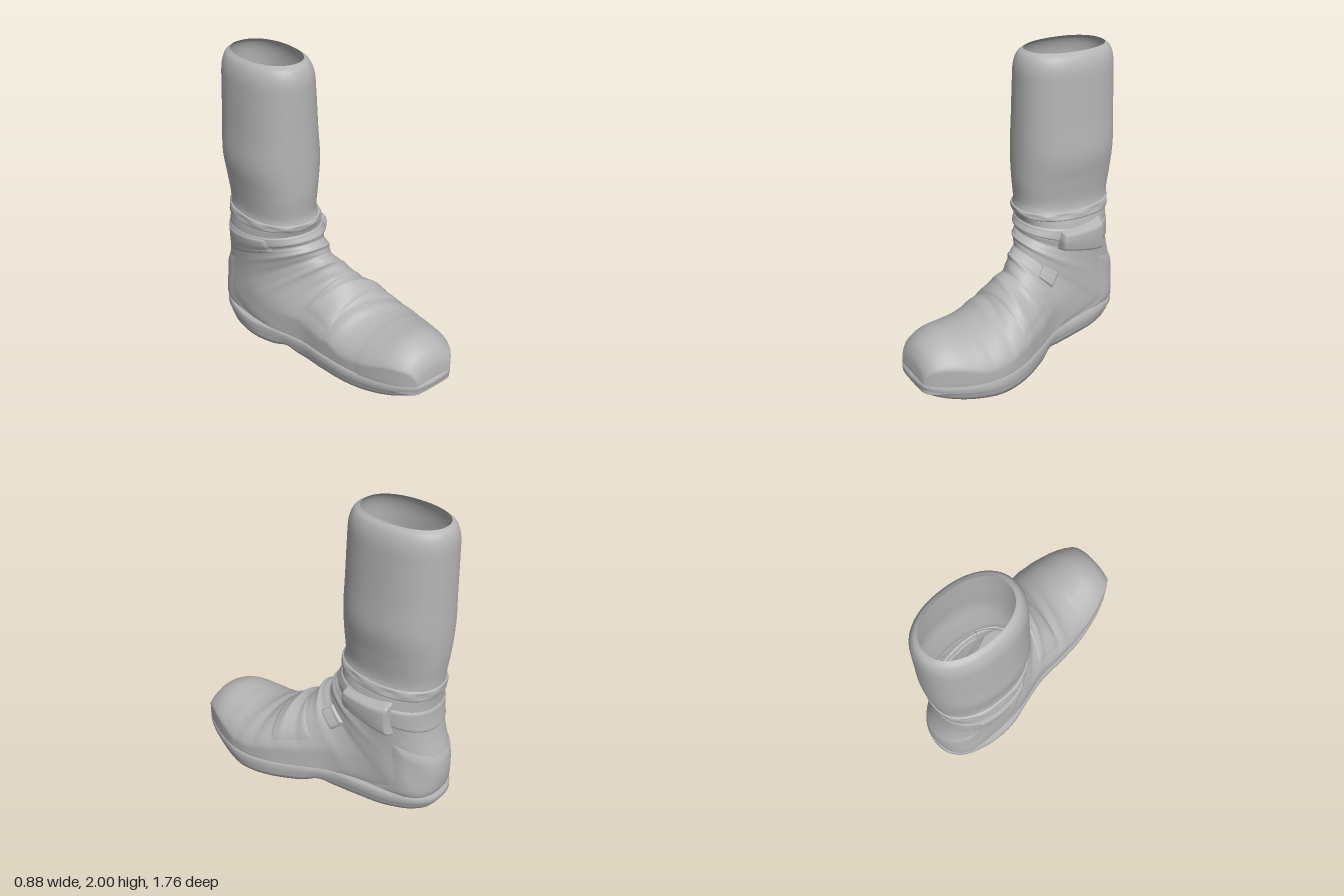
import * as THREE from 'three';
import { mergeVertices } from 'three/addons/utils/BufferGeometryUtils.js';

const leather = new THREE.MeshStandardMaterial({ color: 0xb4b4b4, side: THREE.DoubleSide });
leather.name = 'grey leather';

// Smooth surface from a rule fn(u, v) -> [x, y, z] with u, v in 0..1
function gridMesh(name, fn, nu, nv) {
  const pos = [], index = [];
  for (let i = 0; i <= nu; i++) for (let j = 0; j <= nv; j++) pos.push(...fn(i / nu, j / nv));
  for (let i = 0; i < nu; i++) for (let j = 0; j < nv; j++) {
    const a = i * (nv + 1) + j, c = a + nv + 1;
    index.push(a, a + 1, c, a + 1, c + 1, c);
  }
  let geo = new THREE.BufferGeometry();
  geo.setAttribute('position', new THREE.Float32BufferAttribute(pos, 3));
  geo.setIndex(index);
  geo = mergeVertices(geo, 1e-5);
  geo.computeVertexNormals();
  const mesh = new THREE.Mesh(geo, leather);
  mesh.name = name;
  return mesh;
}

// Footprint: z, inner x, outer x from heel to toe, closed to a point at both ends
const footprint = new THREE.CatmullRomCurve3([
  [-0.885, -0.165, -0.165], [-0.875, -0.24, -0.09], [-0.84, -0.31, -0.03], [-0.76, -0.375, 0.04],
  [-0.6, -0.42, 0.11], [-0.4, -0.42, 0.15], [-0.2, -0.36, 0.19], [0, -0.3, 0.3], [0.2, -0.28, 0.4],
  [0.4, -0.25, 0.44], [0.6, -0.19, 0.4], [0.75, -0.12, 0.34], [0.84, -0.05, 0.28],
  [0.87, 0.0, 0.22], [0.88, 0.11, 0.11],
].map(p => new THREE.Vector3(...p)), false, 'catmullrom', 0.5);
const footSamples = footprint.getPoints(240);
function footAt(z) {
  let k = footSamples.findIndex(p => p.x >= z);
  if (k < 0) k = 240;
  const b = footSamples[k], a = footSamples[Math.max(0, k - 1)];
  const f = b.x > a.x ? THREE.MathUtils.clamp((z - a.x) / (b.x - a.x), 0, 1) : 0;
  const l = a.y + (b.y - a.y) * f, r = a.z + (b.z - a.z) * f;
  return { mid: (l + r) / 2, half: (r - l) / 2 };
}

// Rings fanning from the toe round the heel and up the shaft:
// front z, front y, back z, back y, half width (first ring is number -1)
const rings = [
  [0.865, 0.15, 0.865, 0.15, 0], [0.862, 0.21, 0.865, 0.11, 0.1], [0.845, 0.285, 0.855, 0.09, 0.18],
  [0.79, 0.355, 0.8, 0.08, 0.235], [0.68, 0.4, 0.68, 0.07, 0.28], [0.52, 0.395, 0.52, 0.06, 0.315],
  [0.36, 0.41, 0.36, 0.06, 0.335], [0.25, 0.46, 0.2, 0.06, 0.335], [0.17, 0.515, 0.03, 0.06, 0.31],
  [0.09, 0.56, -0.15, 0.06, 0.285], [0.03, 0.63, -0.38, 0.06, 0.265], [0, 0.67, -0.65, 0.07, 0.252],
  [-0.04, 0.7, -0.83, 0.1, 0.25], [-0.06, 0.73, -0.872, 0.25, 0.245], [-0.07, 0.76, -0.86, 0.4, 0.245],
  [-0.09, 0.79, -0.82, 0.54, 0.252], [-0.1, 0.82, -0.795, 0.66, 0.264], [-0.12, 0.86, -0.785, 0.78, 0.265],
  [-0.1, 0.93, -0.795, 0.91, 0.245], [-0.11, 1, -0.8, 1, 0.233], [-0.1, 1.15, -0.815, 1.15, 0.25],
  [-0.1, 1.33, -0.82, 1.33, 0.275], [-0.105, 1.55, -0.815, 1.55, 0.262], [-0.11, 1.78, -0.81, 1.78, 0.25],
  [-0.115, 1.9, -0.805, 1.9, 0.24], [-0.14, 1.97, -0.785, 1.97, 0.215], [-0.18, 2, -0.75, 2, 0.18],
];
const lastRing = rings.length - 2;
const curve = pick => new THREE.CatmullRomCurve3(
  rings.map(r => new THREE.Vector3(...pick(r))), false, 'catmullrom', 0.5);
const frontCurve = curve(r => [r[0], r[1], r[4]]);
const backCurve = curve(r => [r[2], r[3], 0]);
const bump = (x, c, w) => Math.exp(-(((x - c) / w) ** 2));

// Point on the boot at ring u, angle t (0 = front or top, PI / 2 = outer side), pushed out by off
function surf(u, t, off = 0) {
  const k = THREE.MathUtils.clamp((u + 1) / (lastRing + 1), 0, 1);
  const A = frontCurve.getPoint(k), B = backCurve.getPoint(k);
  const c = Math.cos(t), s = Math.sin(t);
  // Squarer and widest near the sole, rounder round the shaft
  const low = 1 - THREE.MathUtils.smoothstep(u, 9, 12.5);
  const p = c > 0 ? 2.2 - 0.2 * low : 2.2 + 1.4 * low;
  const S0 = Math.sign(c) * Math.abs(c) ** (2 / p), X = Math.sign(s) * Math.abs(s) ** (2 / p);
  const S = S0 - 0.28 * low * (1 - S0 * S0);
  // Leather creases across the instep, ankle folds and the soft collar
  const v = u + 0.45 * s;
  let d = off;
  if (c > -0.3) d += (c + 0.3) * (0.006 * bump(v, 5.3, 0.25) - 0.006 * bump(v, 5.9, 0.2)
    + 0.008 * bump(v, 7.4, 0.25) - 0.007 * bump(v, 8.2, 0.25) + 0.01 * bump(v, 9.6, 0.3)
    - 0.007 * bump(v, 11, 0.4) + 0.009 * bump(v, 12.6, 0.4) - 0.007 * bump(v, 14, 0.4));
  d += 0.005 * bump(u, 17, 0.2) * Math.sin(9 * t);
  const half = Math.hypot(A.x - B.x, A.y - B.y) / 2;
  const grow = half > 0.01 ? 1 + d / half : 1;
  const z = (A.x + B.x) / 2 + (A.x - B.x) / 2 * S * grow;
  const y = (A.y + B.y) / 2 + (A.y - B.y) / 2 * S * grow;
  const foot = footAt(z);
  const limit = foot.half * 0.96 + Math.max(0, y - 0.5) * 1.5;
  const cx = THREE.MathUtils.lerp(foot.mid, -0.162, THREE.MathUtils.smoothstep(y, 0.45, 1.05));
  const w = Math.min((A.z + d) * Math.abs(X), limit + off);
  return [cx + Math.sign(X) * Math.max(0, w), y, z];
}

// Raised leather piece following the boot, its edges sunk into the surface
function patch(name, u0, u1, t0, t1, off, slant = 0, nu = 20, nv = 40) {
  const loop = t1 - t0 > 6.2;
  return gridMesh(name, (a, b) => {
    const edge = loop ? Math.min(a, 1 - a) : Math.min(a, 1 - a, b, 1 - b);
    const h = -0.006 + (off + 0.006) * Math.min(1, edge * 9);
    return surf(u0 + (u1 - u0) * a + slant * (b - 0.5), t0 + (t1 - t0) * b, h);
  }, nu, nv);
}

// Sole rule: toe spring, arch behind the ball and a welt edge
const soleLayers = [[0, 0], [0.95, 0], [0.975, 0.25], [0.98, 0.45], [1, 0.55], [1, 0.88], [0.97, 1], [0, 1]];
function solePoint(layer, around) {
  const [scale, f] = soleLayers[Math.round(layer * (soleLayers.length - 1))];
  const left = around <= 0.5;
  const p = footprint.getPoint(left ? around * 2 : 2 - around * 2);
  const mid = (p.y + p.z) / 2, z = p.x * (scale > 0 ? scale : 0.95);
  const q = Math.max(0, (p.x - 0.4) / 0.48) ** 2;
  const bottom = 0.005 + 0.07 * q + 0.03 * bump(p.x, -0.13, 0.07);
  const top = 0.13 + 0.05 * q;
  return [mid + ((left ? p.y : p.z) - mid) * scale, bottom + (top - bottom) * f, z];
}

export function createModel() {
  const boot = new THREE.Group();
  boot.name = 'boot';
  const TAU = Math.PI * 2;
  boot.add(
    gridMesh('upperAndShaft', (a, b) => surf(-1 + a * (lastRing + 1), b * TAU), 208, 80),
    gridMesh('sole', solePoint, soleLayers.length - 1, 200),
    patch('toeCap', -0.8, 4.7, -2.1, 2.1, 0.005, 0.3, 40, 60),
    patch('instepFlap', 6.2, 8.4, -1.2, 1.3, 0.008, 0.5),
    patch('heelCounter', 9.2, 13.4, 1.85, TAU - 1.85, 0.012),
    patch('ankleStrap', 14.6, 16.1, 0, TAU, 0.008, 0, 16, 80),
    patch('strapFlap', 13.7, 16.2, 1.05, 2.05, 0.052, 0.6),
    patch('innerStrapPad', 13.8, 16, TAU - 2.2, TAU - 0.9, 0.016),
    patch('collarRoll', 16.6, 17.4, 0, TAU, 0.009, 0, 14, 80),
    patch('sideTab', 9.6, 11, 0.7, 1.05, 0.018),
  );
  return boot;
}
